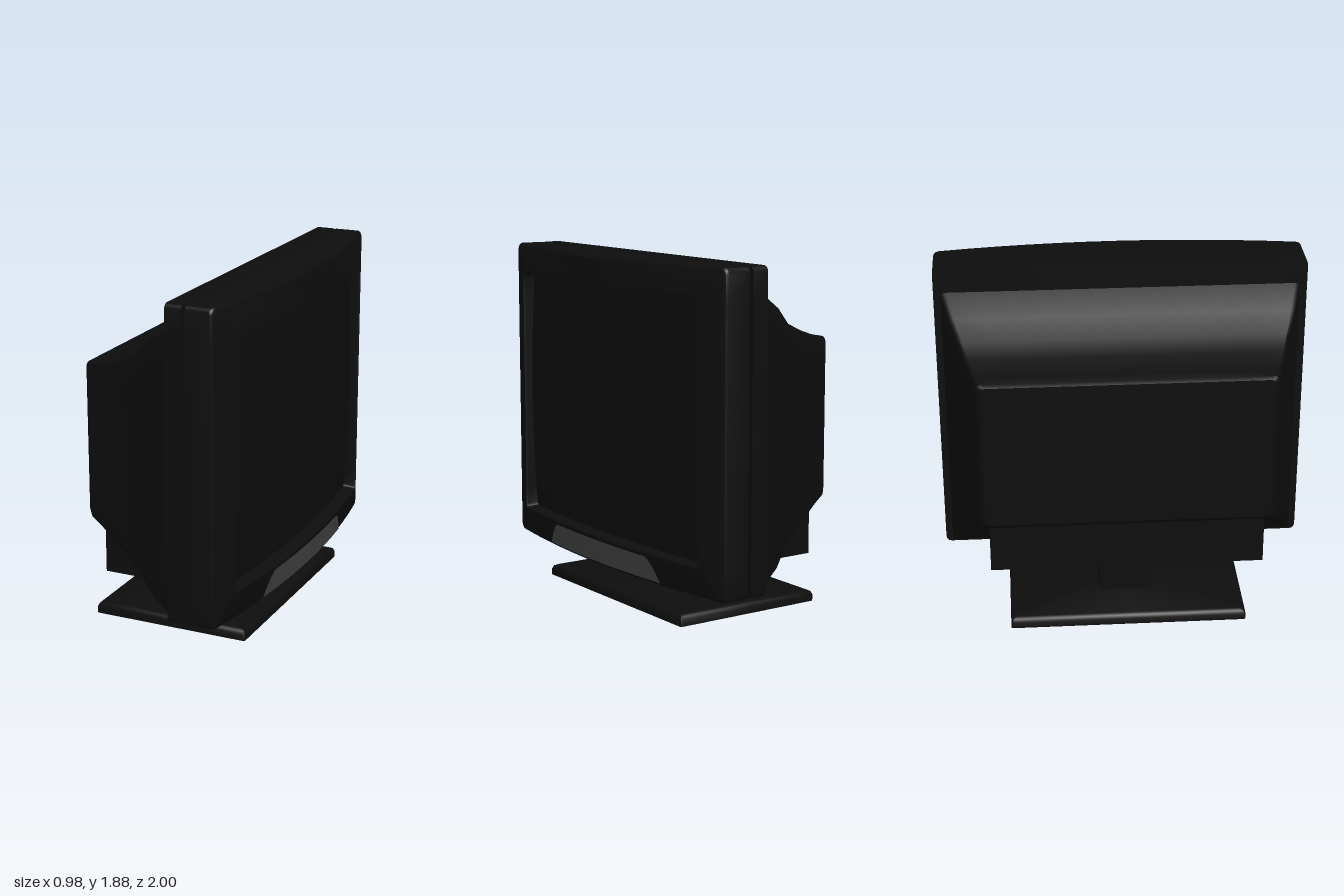
import * as THREE from 'three';
import { toCreasedNormals } from 'three/addons/utils/BufferGeometryUtils.js';

// Rounded rectangle in the y/z plane; x is a number or a function of (y, z)
function ring(zh, y0, y1, r, x, n = 12) {
  const pts = [], cy = (y0 + y1) / 2, hy = (y1 - y0) / 2 - r, hz = zh - r;
  const corners = [[1, -1], [1, 1], [-1, 1], [-1, -1]];
  const add = (y, z) => pts.push([typeof x === 'number' ? x : x(y, z), y, z]);
  corners.forEach(([sy, sz], k) => {
    const start = (k - 1) * Math.PI / 2;
    for (let i = 0; i <= 3; i++) {
      const a = start + i * Math.PI / 6;
      add(cy + sy * hy + r * Math.cos(a), sz * hz + r * Math.sin(a));
    }
    // straight run to the next corner
    const [ny, nz] = corners[(k + 1) % 4], a = start + Math.PI / 2;
    for (let i = 1; i < n; i++) {
      const t = i / n;
      add(cy + hy * (sy + (ny - sy) * t) + r * Math.cos(a),
        hz * (sz + (nz - sz) * t) + r * Math.sin(a));
    }
  });
  return pts;
}

// Skin through successive rings, with optional end caps
function loft(rings, capStart = true, capEnd = true, crease = 0.45) {
  const pos = [], n = rings[0].length, last = rings.length - 1;
  const tri = (a, b, c) => pos.push(...a, ...b, ...c);
  const centre = r => [0, 1, 2].map(k => r.reduce((s, p) => s + p[k], 0) / n);
  for (let j = 0; j < last; j++) {
    for (let i = 0; i < n; i++) {
      const a = rings[j][i], b = rings[j][(i + 1) % n];
      const c = rings[j + 1][i], d = rings[j + 1][(i + 1) % n];
      tri(a, b, c);
      tri(b, d, c);
    }
  }
  const c0 = centre(rings[0]), c1 = centre(rings[last]);
  for (let i = 0; i < n; i++) {
    const k = (i + 1) % n;
    if (capStart) tri(rings[0][k], rings[0][i], c0);
    if (capEnd) tri(rings[last][i], rings[last][k], c1);
  }
  const g = new THREE.BufferGeometry();
  g.setAttribute('position', new THREE.Float32BufferAttribute(pos, 3));
  return toCreasedNormals(g, crease);
}

export function createModel() {
  const group = new THREE.Group();
  const material = (name, color) => {
    const m = new THREE.MeshStandardMaterial({ color });
    m.name = name;
    return m;
  };
  const black = material('black plastic', 0x0d0d0d);
  const glass = material('dark glass', 0x0e0e0e);
  const grey = material('grey plastic', 0x424242);

  const add = (name, geometry, mat = black) => {
    const mesh = new THREE.Mesh(geometry, mat);
    mesh.name = name;
    group.add(mesh);
    return mesh;
  };
  const box = (name, x0, x1, y0, y1, zh) =>
    add(name, new THREE.BoxGeometry(x1 - x0, y1 - y0, zh * 2))
      .position.set((x0 + x1) / 2, (y0 + y1) / 2, 0);

  // Tapered rear housing: x, half width, bottom, top
  const sections = [
    [-0.45, 0.765, 0.635, 1.455], [-0.43, 0.785, 0.61, 1.467], [-0.37, 0.80, 0.575, 1.475],
    [-0.24, 0.84, 0.49, 1.515], [-0.12, 0.875, 0.41, 1.565],
    [-0.02, 0.92, 0.30, 1.655], [0.13, 0.965, 0.201, 1.75],
  ];
  add('rearHousing', loft(sections.map(([x, zh, y0, y1]) => ring(zh, y0, y1, 0.025, x)), true, false));

  // Frame collar behind the bezel, with a groove at each side
  add('frameCollar', loft([ring(1, 0.2, 1.88, 0.03, 0.12), ring(1, 0.2, 1.88, 0.03, 0.21)]));
  box('sideGroove', 0.2, 0.24, 0.201, 1.879, 0.96);

  // Bowed front bezel with a recessed opening
  const rim = (y, z) => 0.47 - 0.09 * z * z;
  const lip = (y, z) => 0.487 - 0.08 * z * z;
  const screenX = (y, z) =>
    0.435 - 0.025 * ((y - 1.045) / 0.675) ** 2 - 0.05 * (z / 0.84) ** 2;
  add('frontBezel', loft([
    ring(1, 0.2, 1.88, 0.03, 0.23),
    ring(1, 0.2, 1.88, 0.03, (y, z) => 0.445 - 0.085 * z * z),
    ring(0.994, 0.206, 1.874, 0.028, (y, z) => 0.46 - 0.088 * z * z),
    ring(0.98, 0.22, 1.86, 0.025, rim),
    ring(0.85, 0.36, 1.73, 0.02, lip),
    ring(0.845, 0.365, 1.725, 0.02, (y, z) => lip(y, z) - 0.008),
    ring(0.84, 0.37, 1.72, 0.02, screenX),
  ], true, false));

  // Gently domed screen
  add('screen', loft([1, 0.8, 0.6, 0.4, 0.2].map(s =>
    ring(0.84 * s, 1.045 - 0.675 * s, 1.045 + 0.675 * s, 0.02 * s, screenX)), false, true));

  // Control panel: a thin trapezoid following the lower bezel
  const panel = new THREE.PlaneGeometry(1, 1, 20, 8);
  const p = panel.attributes.position;
  for (let i = 0; i < p.count; i++) {
    const v = p.getY(i) + 0.5, y = 0.22 + 0.125 * v;
    const z = -2 * p.getX(i) * (0.54 - 0.075 * v - 0.03 * v ** 5);
    const t = (y - 0.22) / 0.14;
    p.setXYZ(i, rim(y, z) * (1 - t) + lip(y, z) * t + 0.005, y, z);
  }
  panel.computeVertexNormals();
  add('controlPanel', panel, grey);

  // Underside box, rear cover, neck and foot
  box('lowerRearBox', -0.37, -0.01, 0.305, 0.62, 0.745);
  box('rearCover', -0.455, -0.445, 0.65, 0.9, 0.29);
  box('neck', -0.23, 0.05, 0.05, 0.45, 0.145);
  const foot = [[0, 0], [0.035, 0], [0.052, 0.008], [0.06, 0.025]].map(([h, inset]) =>
    ring(0.645 - inset, -0.39 + inset, 0.49 - inset, 0.01, h, 2));
  add('footPlate', loft(foot, true, true, 0.8).rotateZ(Math.PI / 2));

  return group;
}
